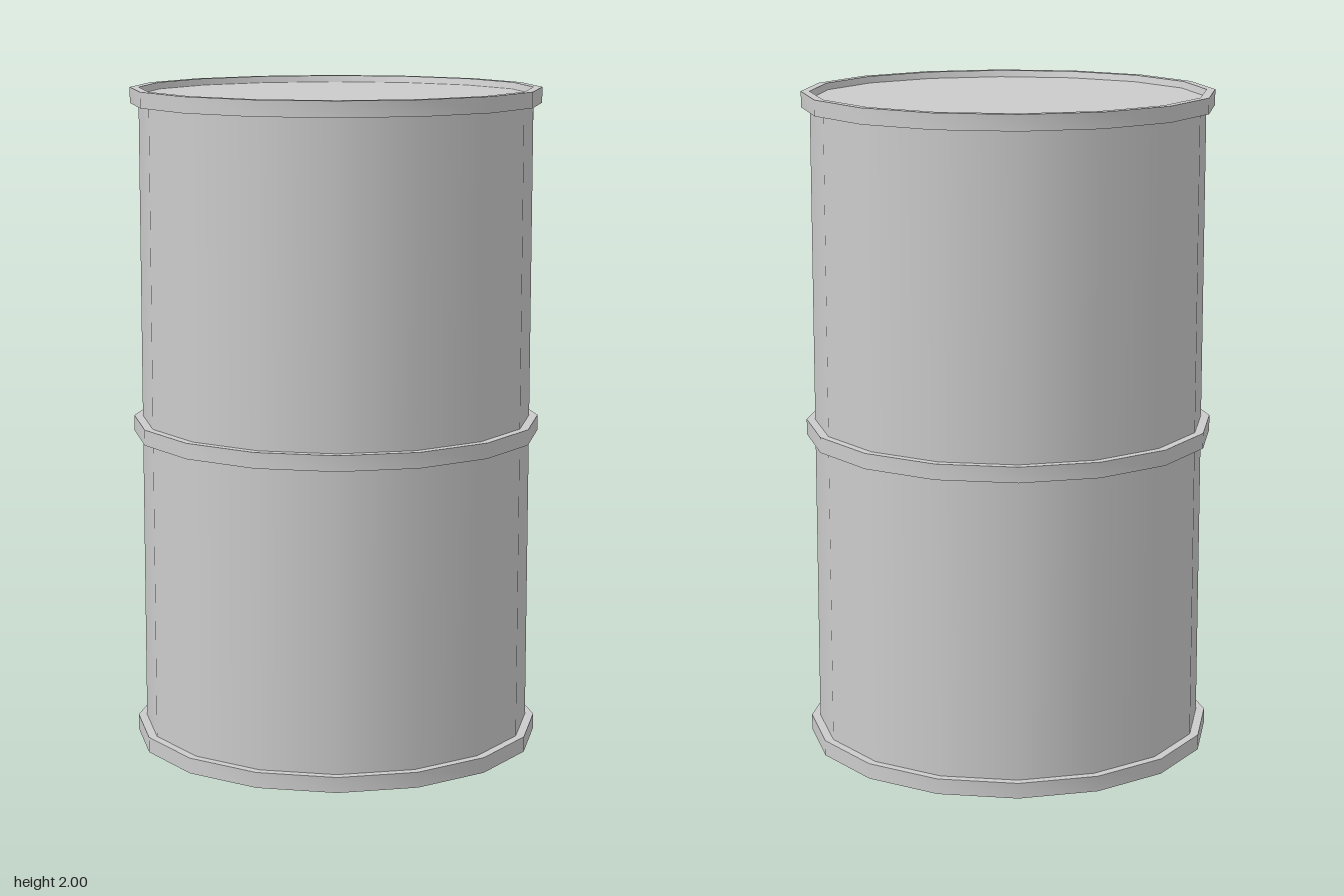
import * as THREE from 'three';
import { toCreasedNormals } from 'three/addons/utils/BufferGeometryUtils.js';

const SIDES = 16;
const BODY_RADIUS = 0.592;
const HOOP_RADIUS = 0.618;
const HOOP_HEIGHT = 0.047;
const LID_HEIGHT = 1.98;

export function createModel() {
  const group = new THREE.Group();
  const material = new THREE.MeshStandardMaterial({ color: 0xcccccc });

  const add = (name, geometry, y) => {
    const mesh = new THREE.Mesh(geometry, material);
    mesh.name = name;
    mesh.position.y = y;
    group.add(mesh);
  };

  // Drum body; its top cap is the slightly sunken lid
  add('body', new THREE.CylinderGeometry(BODY_RADIUS, BODY_RADIUS, LID_HEIGHT, SIDES), LID_HEIGHT / 2);

  // Square-section hoop, leaning in a little at the foot of its inner wall
  const profile = [
    [0.58, 0],
    [HOOP_RADIUS, 0],
    [HOOP_RADIUS, HOOP_HEIGHT],
    [BODY_RADIUS, HOOP_HEIGHT],
    [0.58, 0],
  ].map(([r, y]) => new THREE.Vector2(r, y));
  const hoop = toCreasedNormals(new THREE.LatheGeometry(profile, SIDES), Math.PI / 6);

  // Hoops at the foot, the waist and the rim
  add('bottomHoop', hoop, 0);
  add('middleHoop', hoop, 1 - HOOP_HEIGHT);
  add('topRim', hoop, 2 - HOOP_HEIGHT);

  return group;
}
